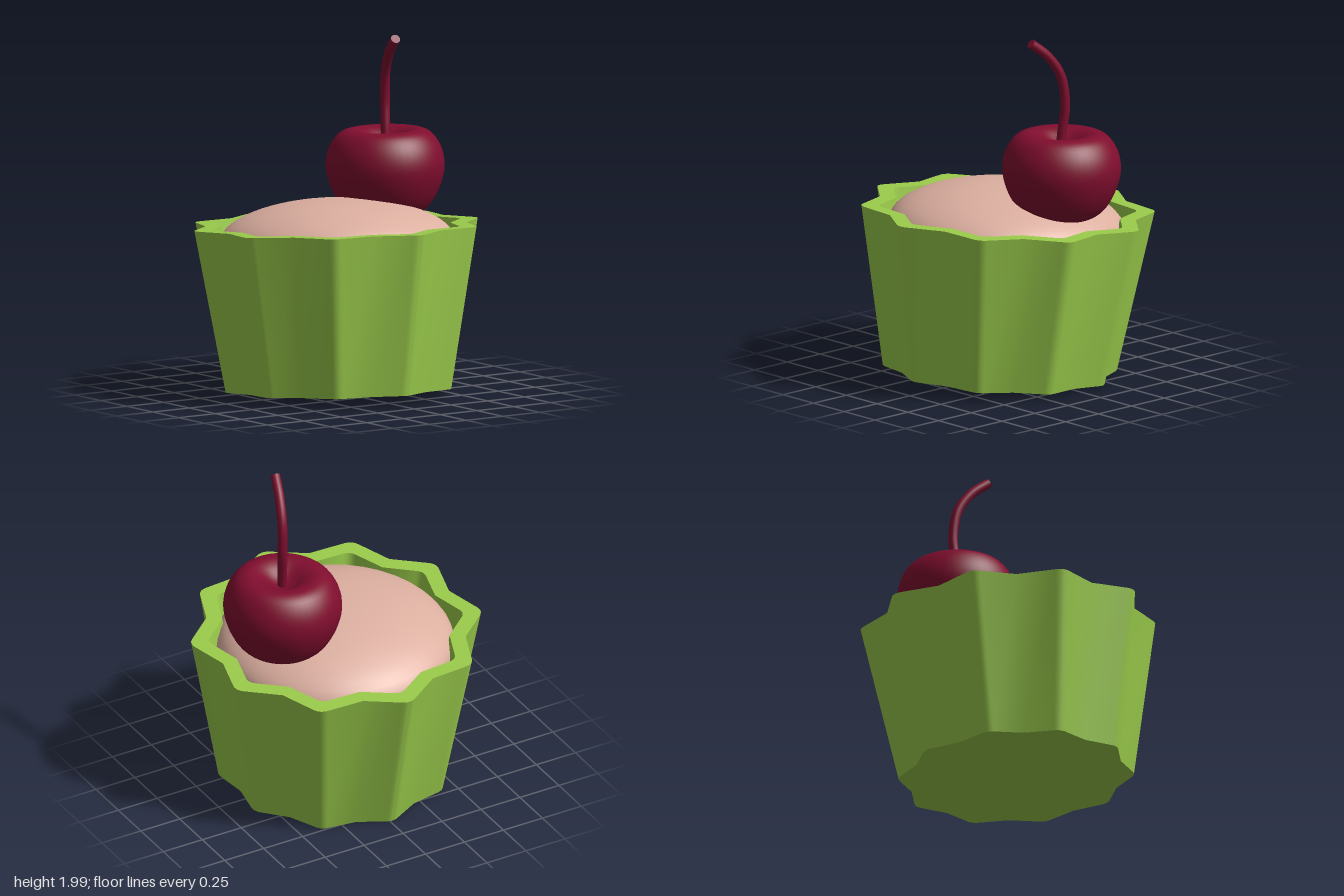
import * as THREE from 'three';
import { toCreasedNormals } from 'three/addons/utils/BufferGeometryUtils.js';

const FLUTES = 10;

// One fluted outline: rounded peaks with plain valleys between them.
function flutedRing(peak, valley, y) {
  const at = (r, a) => new THREE.Vector3(r * Math.cos(a), y, r * Math.sin(a));
  const step = (Math.PI * 2) / FLUTES;
  const ring = [];
  for (let i = 0; i < FLUTES; i++) {
    const a = Math.PI / 2 + i * step;
    const before = at(valley, a - step / 2);
    const tip = at(peak, a);
    const after = at(valley, a + step / 2);
    const curve = new THREE.QuadraticBezierCurve3(
      before.clone().lerp(tip, 0.82), tip, after.clone().lerp(tip, 0.82));
    ring.push(before, ...curve.getPoints(5));
  }
  return ring;
}

// Joins successive rings into one closed skin.
function skinRings(rings) {
  const n = rings[0].length;
  const positions = rings.flat().flatMap((p) => [p.x, p.y, p.z]);
  const index = [];
  for (let r = 0; r < rings.length - 1; r++) {
    for (let i = 0; i < n; i++) {
      const a = r * n + i;
      const b = r * n + ((i + 1) % n);
      index.push(a, a + n, b, b, a + n, b + n);
    }
  }
  const geometry = new THREE.BufferGeometry();
  geometry.setAttribute('position', new THREE.Float32BufferAttribute(positions, 3));
  geometry.setIndex(index);
  return toCreasedNormals(geometry, 0.6);
}

export function createModel() {
  const model = new THREE.Group();
  model.name = 'cupcake';

  const paint = (name, color) => {
    const material = new THREE.MeshStandardMaterial({ color });
    material.name = name;
    return material;
  };
  const green = paint('wrapper green', 0x9acb4b);
  const cream = paint('cake pink', 0xdcafa0);
  const red = paint('cherry red', 0x7f0d2e);

  const add = (parent, name, geometry, material) => {
    const mesh = new THREE.Mesh(geometry, material);
    mesh.name = name;
    parent.add(mesh);
    return mesh;
  };

  // Wrapper and cake lean together by a few degrees
  const cup = new THREE.Group();
  cup.name = 'cup';
  cup.position.set(-0.018, 0.036, 0.05);
  cup.rotation.set(-0.053, 0, -0.016);
  model.add(cup);

  // Fluted wrapper: base, outer wall, rim, inner wall, inner floor
  add(cup, 'wrapper', skinRings([
    flutedRing(0.001, 0.001, 0),
    flutedRing(0.665, 0.6, 0),
    flutedRing(0.835, 0.725, 0.91),
    flutedRing(0.73, 0.635, 0.91),
    flutedRing(0.66, 0.585, 0.55),
    flutedRing(0.001, 0.001, 0.55),
  ]), green);

  // Domed cake
  const cake = add(cup, 'cake',
    new THREE.SphereGeometry(1, 40, 16, 0, Math.PI * 2, 0, Math.PI * 0.6), cream);
  cake.scale.set(0.665, 0.255, 0.665);
  cake.position.set(0, 0.8, 0.005);

  // Cherry with a dimpled top
  const outline = [
    [0, -0.265], [0.1, -0.27], [0.18, -0.255], [0.25, -0.2], [0.305, -0.1],
    [0.331, 0.01], [0.315, 0.11], [0.265, 0.19], [0.2, 0.22], [0.13, 0.205],
    [0.06, 0.16], [0, 0.14],
  ].map(([x, y]) => new THREE.Vector2(x, y));
  const profile = new THREE.SplineCurve(outline).getPoints(44);
  profile.forEach((p) => { p.x = Math.max(p.x, 0); });
  profile[0].x = profile[profile.length - 1].x = 0;
  const cherry = add(model, 'cherry', new THREE.LatheGeometry(profile, 48), red);
  cherry.position.set(0.372, 1.22, -0.055);
  cherry.rotation.set(-0.02, 0, 0.01);

  // Curved stem with a capped tip
  const path = new THREE.CatmullRomCurve3([
    [0.37, 1.33, -0.045], [0.375, 1.45, -0.057], [0.383, 1.6, -0.073],
    [0.371, 1.77, -0.05], [0.345, 1.89, 0.025], [0.315, 1.975, 0.125],
  ].map((p) => new THREE.Vector3(...p)));
  add(model, 'stem', new THREE.TubeGeometry(path, 32, 0.027, 14), red);
  const cap = add(model, 'stemTip', new THREE.CircleGeometry(0.027, 14), red);
  cap.position.copy(path.getPoint(1));
  cap.lookAt(path.getPoint(1).add(path.getTangent(1)));

  return model;
}
